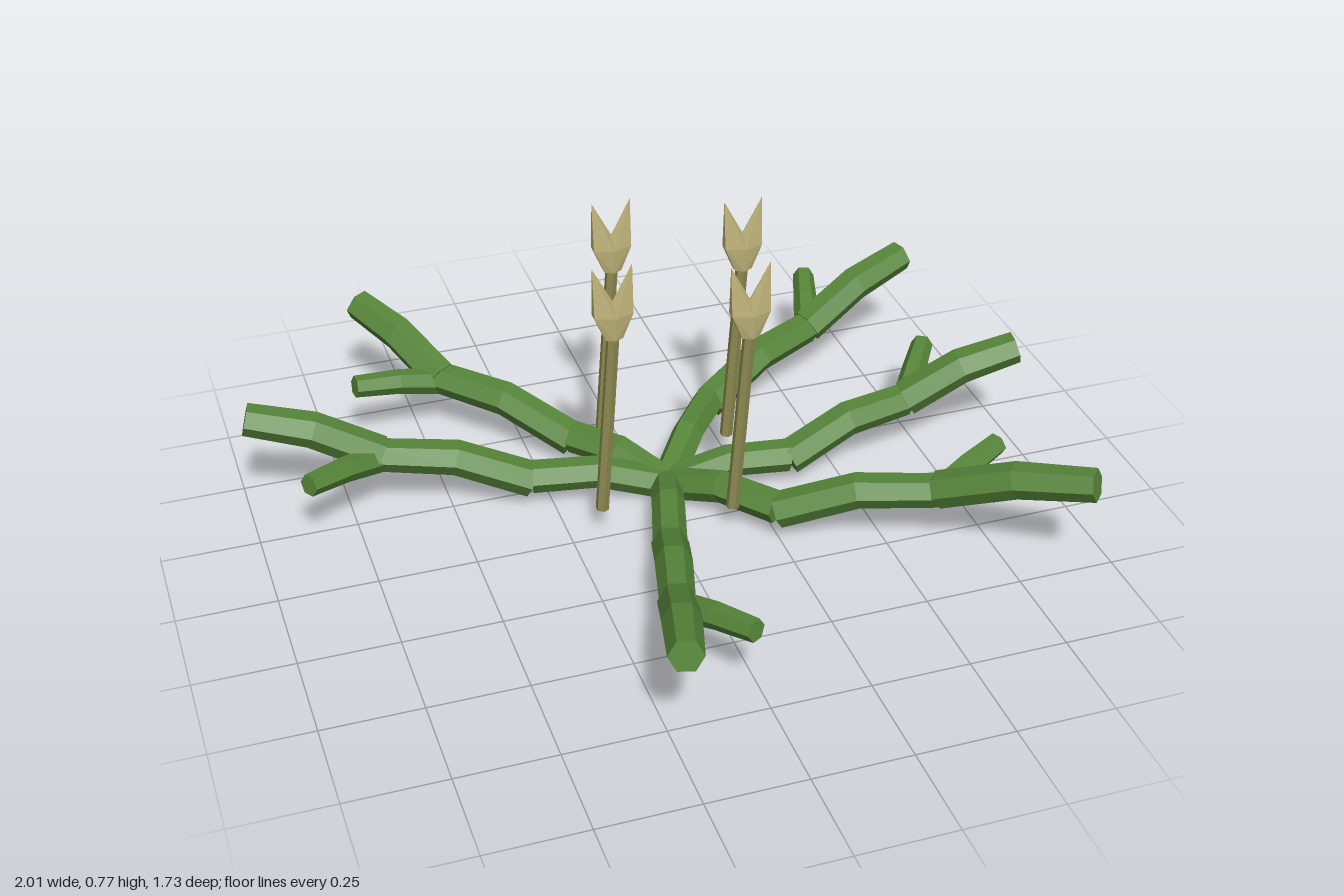
import * as THREE from 'three';
import { ConvexGeometry } from 'three/addons/geometries/ConvexGeometry.js';

const green = new THREE.MeshStandardMaterial({ color: 0x568539 });
green.name = 'leafGreen';
const olive = new THREE.MeshStandardMaterial({ color: 0x8c8850 });
olive.name = 'stemOlive';
const tan = new THREE.MeshStandardMaterial({ color: 0xc0b47a });
tan.name = 'capsuleTan';

const SIDES = 6;
const HUB = [0.04, -0.13];

function part(name, geometry, material) {
  const mesh = new THREE.Mesh(geometry, material);
  mesh.name = name;
  return mesh;
}

// Closed, faceted hexagonal limb swept through a few points
function limb(points, radii) {
  const rings = points.map((p, i) => {
    const prev = points[Math.max(i - 1, 0)];
    const next = points[Math.min(i + 1, points.length - 1)];
    const t = next.clone().sub(prev).normalize();
    const side = new THREE.Vector3(0, 1, 0).cross(t).normalize();
    const up = t.clone().cross(side);
    return Array.from({ length: SIDES }, (_, k) => {
      const a = (k / SIDES) * Math.PI * 2;
      return p.clone()
        .addScaledVector(side, Math.cos(a) * radii[i])
        .addScaledVector(up, Math.sin(a) * radii[i]);
    });
  });
  const tris = [];
  const last = rings.length - 1;
  for (let k = 0; k < SIDES; k++) {
    const n = (k + 1) % SIDES;
    for (let i = 0; i < last; i++) {
      const [a, b, c, d] = [rings[i][k], rings[i][n], rings[i + 1][n], rings[i + 1][k]];
      tris.push(a, b, c, a, c, d);
    }
    tris.push(points[0], rings[0][n], rings[0][k]);
    tris.push(points[last], rings[last][k], rings[last][n]);
  }
  const g = new THREE.BufferGeometry().setFromPoints(tris);
  g.computeVertexNormals();
  return g;
}

// Piece running from one plan position [x, z] to another, with a bend halfway
function piece(from, to, heights, radii) {
  const points = heights.map((y, i) => {
    const f = i / (heights.length - 1);
    return new THREE.Vector3(
      THREE.MathUtils.lerp(from[0], to[0], f), y,
      THREE.MathUtils.lerp(from[1], to[1], f));
  });
  return limb(points, radii);
}

// Plan positions: first joint, second joint, tip, side twig tip
const BRANCHES = [
  [[-0.05, 0.17], [-0.145, 0.51], [-0.24, 0.85], [-0.025, 0.71]],
  [[0.25, 0.125], [0.61, 0.29], [0.9, 0.555], [0.815, 0.195]],
  [[0.36, -0.085], [0.7, -0.12], [0.99, -0.08], [0.83, -0.31]],
  [[0.25, -0.4], [0.59, -0.545], [0.9, -0.63], [0.66, -0.76]],
  [[-0.15, -0.345], [-0.44, -0.61], [-0.605, -0.845], [-0.675, -0.58]],
  [[-0.3, -0.2], [-0.67, -0.3], [-0.99, -0.375], [-0.875, -0.17]],
];

function makeBranch([joint1, joint2, tip, twigTip]) {
  const branch = new THREE.Group();
  branch.name = 'branch';
  branch.add(
    part('innerBranch', piece(HUB, joint1, [0.045, 0.095, 0.093], [0.042, 0.042, 0.043]), green),
    part('middleBranch', piece(joint1, joint2, [0.085, 0.16, 0.175], [0.047, 0.046, 0.043]), green),
    part('outerBranch', piece(joint2, tip, [0.178, 0.262, 0.303], [0.048, 0.047, 0.042]), green),
    part('sideTwig', piece(joint2, twigTip, [0.165, 0.195, 0.212], [0.036, 0.033, 0.029]), green),
  );
  return branch;
}

// Half of a forked capsule; s is the side it leans to
function capsuleLobe(s) {
  return new ConvexGeometry([
    [0, 0, 0.023], [0, 0, -0.023], [0.022, 0, 0.012], [0.022, 0, -0.012],
    [0, 0.065, 0.029], [0, 0.065, -0.029], [0.049, 0.065, 0.012], [0.049, 0.065, -0.012],
    [0, 0.1, 0], [0.05, 0.195, 0],
  ].map(([x, y, z]) => new THREE.Vector3(s * x, y, z)));
}

// Leaning stem with an upright forked capsule on top
function makeStalk(x, z) {
  const stalk = new THREE.Group();
  stalk.name = 'stalk';
  const foot = new THREE.Vector3(x - 0.035, 0.085, z);
  const head = new THREE.Vector3(x, 0.59, z);
  const dir = head.clone().sub(foot);
  const stemShape = new THREE.CylinderGeometry(0.016, 0.017, dir.length(), SIDES).toNonIndexed();
  stemShape.computeVertexNormals();
  const stem = part('stem', stemShape, olive);
  stem.position.copy(foot).add(head).multiplyScalar(0.5);
  stem.quaternion.setFromUnitVectors(new THREE.Vector3(0, 1, 0), dir.normalize());
  stalk.add(stem);
  for (const s of [-1, 1]) {
    const lobe = part('capsuleLobe', capsuleLobe(s), tan);
    lobe.position.set(x, 0.585, z);
    stalk.add(lobe);
  }
  return stalk;
}

export function createModel() {
  const model = new THREE.Group();
  model.name = 'mossPlant';
  BRANCHES.forEach((b) => model.add(makeBranch(b)));
  for (const [x, z] of [[-0.132, -0.02], [-0.038, -0.335], [0.183, 0.075], [0.278, -0.24]]) {
    model.add(makeStalk(x, z));
  }
  return model;
}
